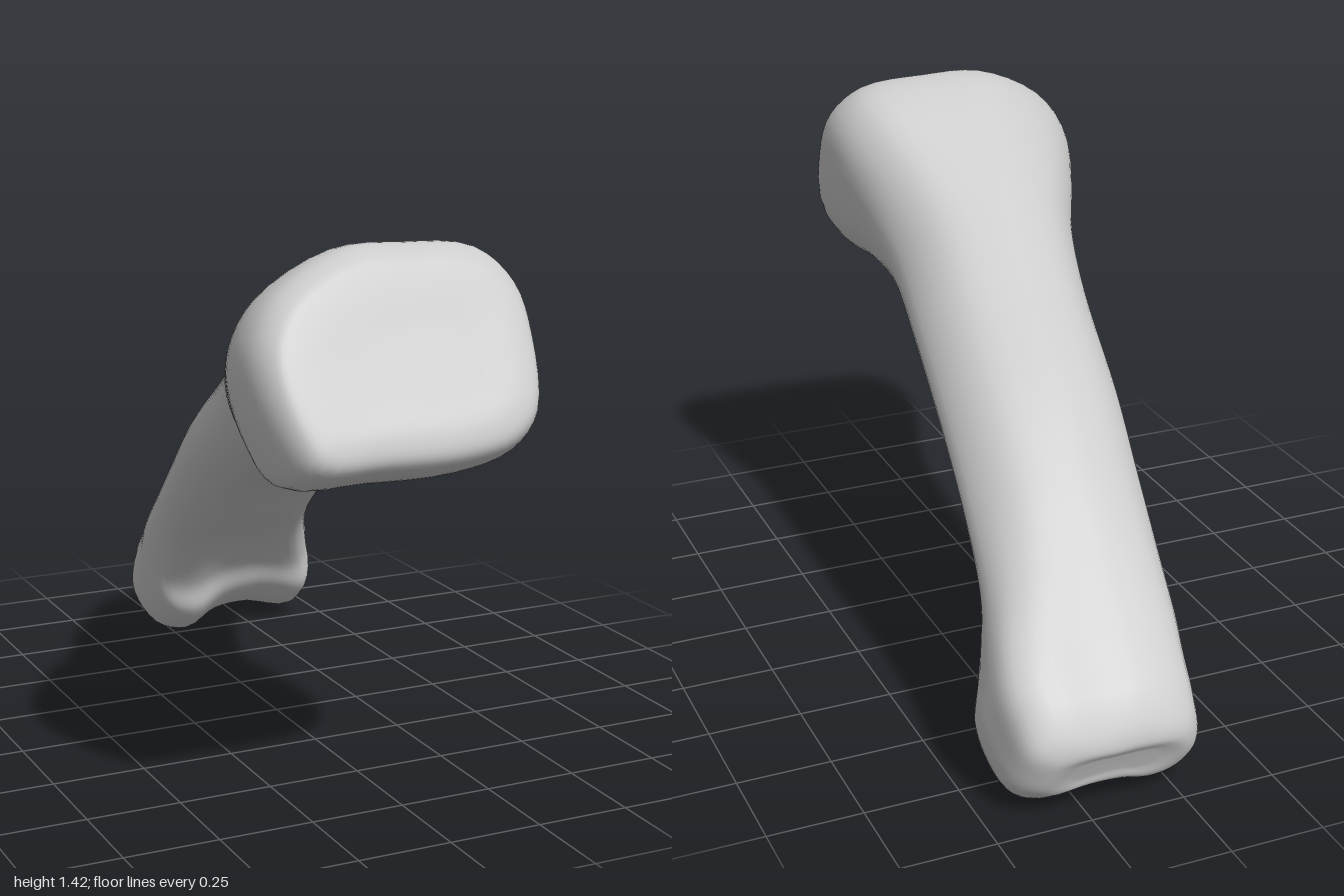
import * as THREE from 'three';

const RING = 56, STEPS = 96;

// Outlines as [across -1..1, height 0..1], clockwise from the top as seen from the front
const BASE = [[.2, 1], [.72, .96], [.95, .8], [1, .55], [.92, .2], [.7, .06], [.3, 0], [-.3, 0],
  [-.8, .02], [-.93, .18], [-1, .45], [-.95, .64], [-.75, .82], [-.25, .99]];
const SHAFT = [[.1, 1], [.55, .92], [.85, .72], [1, .45], [.82, .2], [.6, .1], [.25, .03], [-.2, 0],
  [-.65, .04], [-.9, .2], [-1, .42], [-.92, .66], [-.65, .88], [-.25, .99]];
const HEAD = [[.1, .97], [.6, .98], [.87, .87], [.97, .6], [1, .3], [.85, .1], [.35, .17], [-.1, .14],
  [-.5, 0], [-.8, .08], [-.97, .4], [-.94, .65], [-.77, .88], [-.3, .98]];
const OUTLINES = [BASE, SHAFT, HEAD];

// Sections: top z, top y, bottom z, bottom y, x min, x max, outline (0 base, 1 shaft, 2 head)
const SECTIONS = [
  [.86, 1.24, .94, 1.1, -.2, .1, 0],
  [.80, 1.355, .985, 1.02, -.36, .22, 0],
  [.76, 1.405, .985, .955, -.42, .27, 0],
  [.69, 1.425, .9, .9, -.45, .3, 0],
  [.58, 1.39, .76, .875, -.44, .295, 0],
  [.4, 1.285, .6, .87, -.375, .265, .4],
  [.22, 1.175, .42, .83, -.295, .25, .8],
  [0, 1.04, .18, .75, -.235, .275, 1],
  [-.3, .86, -.1, .615, -.19, .31, 1],
  [-.5, .71, -.32, .475, -.155, .335, 1],
  [-.68, .555, -.5, .345, -.13, .37, 1.4],
  [-.8, .45, -.625, .2, -.12, .42, 1.8],
  [-.89, .37, -.66, .1, -.11, .445, 2],
  [-.95, .31, -.75, .02, -.1, .44, 2],
  [-.99, .24, -.86, .01, -.08, .42, 2],
  [-1, .19, -.94, .05, -.03, .36, 2],
  [-.985, .16, -.96, .1, .05, .28, 2],
];

// One smooth closed ring, blended between neighbouring outlines
function sectionRing([tz, ty, bz, by, x0, x1, kind]) {
  const k = Math.min(Math.floor(kind), 1), f = kind - k;
  const pts = OUTLINES[k].map(([u0, v0], i) => {
    const [u1, v1] = OUTLINES[k + 1][i];
    const u = THREE.MathUtils.lerp(u0, u1, f), v = THREE.MathUtils.lerp(v0, v1, f);
    return new THREE.Vector3(
      (x0 + x1) / 2 + u * (x1 - x0) / 2,
      THREE.MathUtils.lerp(by, ty, v),
      THREE.MathUtils.lerp(bz, tz, v));
  });
  return new THREE.CatmullRomCurve3(pts, true).getPoints(RING).slice(0, RING);
}

function boneGeometry() {
  // Smooth rails run lengthwise through all section rings
  const rings = SECTIONS.map(sectionRing);
  const rails = [];
  for (let j = 0; j < RING; j++) {
    rails.push(new THREE.CatmullRomCurve3(rings.map(r => r[j]), false, 'catmullrom', 0.5).getPoints(STEPS));
  }

  const pos = [], index = [];
  for (let i = 0; i <= STEPS; i++) {
    for (let j = 0; j < RING; j++) pos.push(...rails[j][i].toArray());
  }
  for (let i = 0; i < STEPS; i++) {
    for (let j = 0; j < RING; j++) {
      const n = (j + 1) % RING;
      const a = i * RING + j, b = i * RING + n, c = a + RING, d = b + RING;
      index.push(a, b, c, b, d, c);
    }
  }

  // Close both ends around a centre point
  for (const row of [0, STEPS]) {
    const mid = new THREE.Vector3();
    rails.forEach(r => mid.addScaledVector(r[row], 1 / RING));
    const m = pos.length / 3;
    pos.push(...mid.toArray());
    for (let j = 0; j < RING; j++) {
      const a = row * RING + j, b = row * RING + (j + 1) % RING;
      if (row === 0) index.push(m, b, a);
      else index.push(m, a, b);
    }
  }

  const geo = new THREE.BufferGeometry();
  geo.setAttribute('position', new THREE.Float32BufferAttribute(pos, 3));
  geo.setIndex(index);
  geo.computeBoundingBox();
  const { min, max } = geo.boundingBox;
  geo.translate(-(min.x + max.x) / 2, -min.y, -(min.z + max.z) / 2);
  geo.computeVertexNormals();
  return geo;
}

export function createModel() {
  const group = new THREE.Group();
  group.name = 'fingerBone';
  const bone = new THREE.Mesh(boneGeometry(), new THREE.MeshStandardMaterial({ color: 0xcccccc }));
  bone.name = 'bone';
  group.add(bone);
  return group;
}
